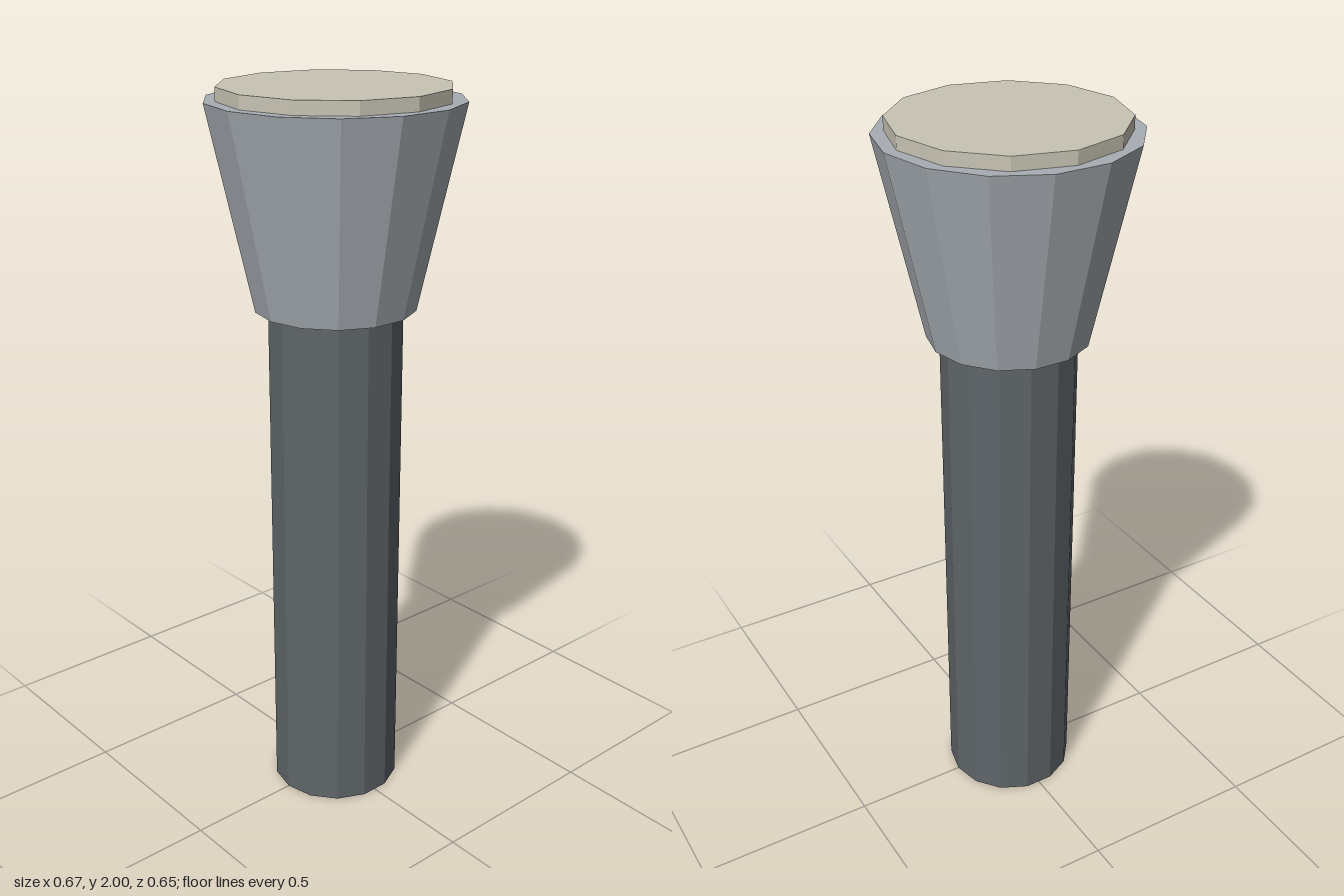
import * as THREE from 'three';

function paint(name, color) {
  const material = new THREE.MeshStandardMaterial({ color, flatShading: true });
  material.name = name;
  return material;
}

export function createModel() {
  const group = new THREE.Group();
  group.name = 'flashlight';

  // Upright faceted section between two heights
  function section(name, rBottom, rTop, y0, y1, sides, material) {
    const geometry = new THREE.CylinderGeometry(rTop, rBottom, y1 - y0, sides);
    geometry.rotateY(Math.PI / 2); // a corner lies on the x axis
    const mesh = new THREE.Mesh(geometry, material);
    mesh.name = name;
    mesh.position.y = (y0 + y1) / 2;
    group.add(mesh);
  }

  // Handle, flared head and the raised lens disc
  section('handle', 0.181, 0.181, 0, 1.43, 14, paint('dark grey', 0x5f6569));
  section('head', 0.215, 0.333, 1.43, 1.965, 14, paint('light grey', 0xa8aeb4));
  section('lens', 0.3, 0.3, 1.95, 2, 12, paint('pale beige', 0xc8c4b5));

  return group;
}
